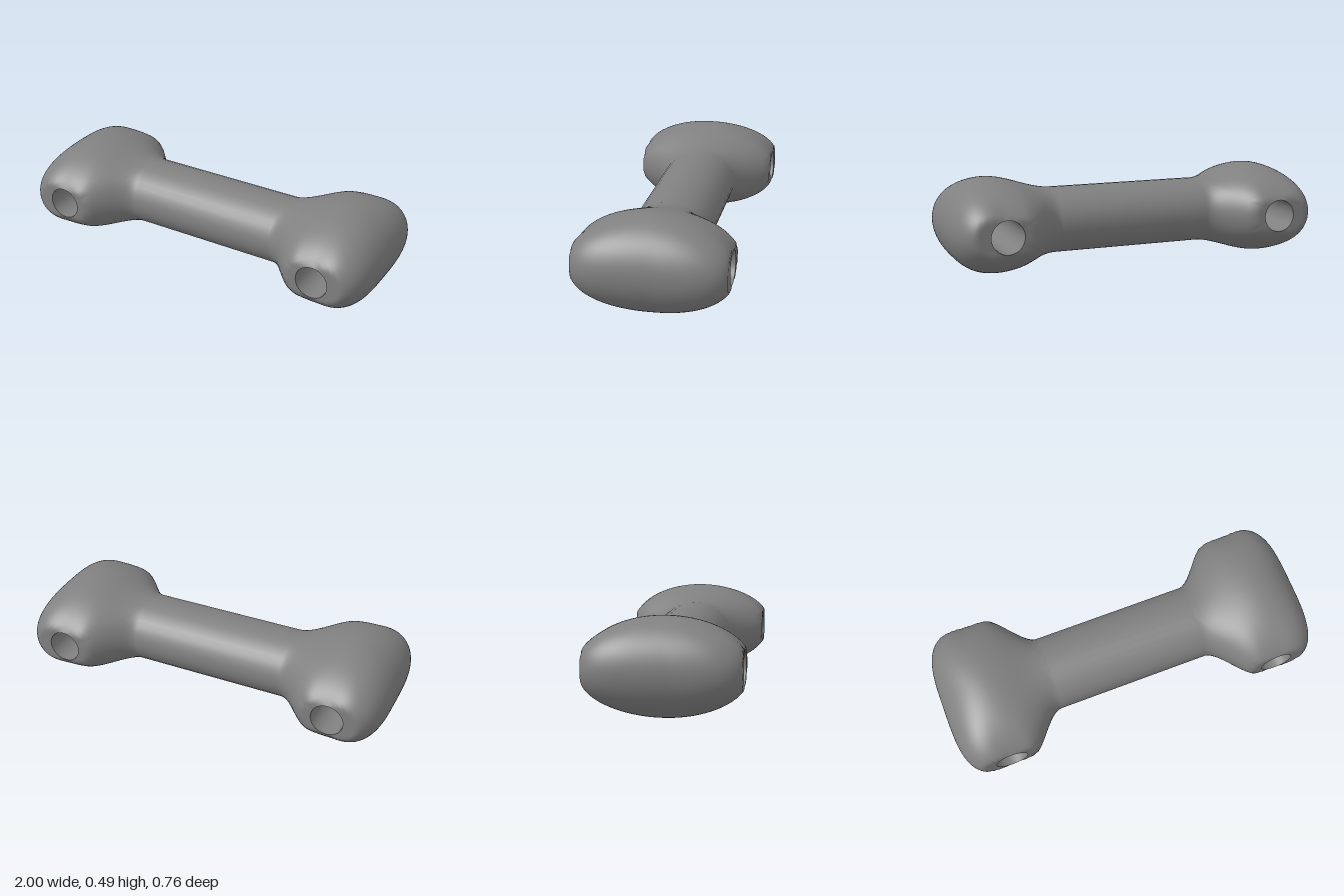
import * as THREE from 'three';
import { mergeVertices } from 'three/addons/utils/BufferGeometryUtils.js';

const CY = 0.2425;          // height of the centre line
const HX = 0.75;            // hole centre
const HOLE = 0.085;
const NECK = 0.41;          // where the shaft meets the knob
const SHAFT_Y = 0.172, SHAFT_Z = 0.2;
const KNOB_X = 0.25, KNOB_Y = 0.2425, KNOB_Z = 0.405, FLAT_Z = 0.378;

// half height and half depth of the flared neck
const neckY = x => SHAFT_Y + (KNOB_Y - SHAFT_Y) * THREE.MathUtils.smoothstep(x, NECK, HX);
const neckZ = x => SHAFT_Z + (KNOB_Z - SHAFT_Z) * THREE.MathUtils.smoothstep(x, NECK, 0.66);

// outline of a knob seen along the hole, counterclockwise
function knobOutline() {
  const upper = [], edge = [];
  for (let i = 0; i < 18; i++) {
    const a = i / 18 * Math.PI / 2;
    upper.push([HX + KNOB_X * Math.cos(a), KNOB_Y * Math.sin(a)]);
  }
  for (let i = 0; i < 14; i++) {
    const x = HX + (NECK - HX) * i / 14;
    upper.push([x, neckY(x)]);
  }
  for (let i = 0; i <= 16; i++) edge.push([NECK, SHAFT_Y * Math.cos(i / 16 * Math.PI)]);
  const lower = upper.map(([x, y]) => [x, -y]).reverse();
  return [...upper, ...edge, ...lower];
}

// half depth of the knob at a point; u is the fraction of the way to the outline
function halfDepth(x, y, u) {
  let z;
  if (x >= HX) {
    const c = Math.cos(Math.atan2(y, x - HX));
    const p = 2 + 1.5 * c * c;
    z = KNOB_Z * Math.pow(Math.max(0, 1 - Math.pow(u, p)), 1 / p);
  } else {
    z = neckZ(x) * Math.sqrt(Math.max(0, 1 - (y / neckY(x)) ** 2));
  }
  return Math.min(z, FLAT_Z);
}

// two mirrored sheets running from the hole rim to the outline
function knobGeometry() {
  const outline = knobOutline(), rings = 18, row = rings + 1;
  const position = [], index = [];
  for (const side of [1, -1]) {
    const base = position.length / 3;
    outline.forEach(([bx, by], i) => {
      const R = Math.hypot(bx - HX, by);
      for (let k = 0; k <= rings; k++) {
        const s = 1 - Math.pow(1 - k / rings, 2.2);
        const u = (HOLE + (R - HOLE) * s) / R;
        const x = HX + (bx - HX) * u, y = by * u;
        position.push(x, y + CY, side * halfDepth(x, y, u));
        if (k === rings || i === outline.length - 1) continue;
        const a = base + i * row + k, b = a + 1, d = a + row, c = d + 1;
        if (side > 0) index.push(a, b, c, a, c, d);
        else index.push(a, c, b, a, d, c);
      }
    });
  }
  const g = new THREE.BufferGeometry();
  g.setAttribute('position', new THREE.Float32BufferAttribute(position, 3));
  g.setIndex(index);
  const merged = mergeVertices(g, 1e-5);
  merged.computeVertexNormals();
  return merged;
}

export function createModel() {
  const group = new THREE.Group();
  const grey = new THREE.MeshStandardMaterial({ color: 0x808080, side: THREE.DoubleSide });
  grey.name = 'grey';

  // oval bar
  const shaftGeo = new THREE.CylinderGeometry(1, 1, NECK * 2, 32, 1, true);
  shaftGeo.rotateZ(Math.PI / 2).scale(1, SHAFT_Y, SHAFT_Z).translate(0, CY, 0);
  const shaft = new THREE.Mesh(shaftGeo, grey);
  shaft.name = 'shaft';
  group.add(shaft);

  // rounded knobs with a bored hole, mirrored left and right
  const knobGeo = knobGeometry();
  const boreGeo = new THREE.LatheGeometry(
    [new THREE.Vector2(HOLE, FLAT_Z), new THREE.Vector2(HOLE, -FLAT_Z)], 64);
  boreGeo.rotateX(Math.PI / 2).translate(HX, CY, 0);
  for (const [name, s] of [['left', 1], ['right', -1]]) {
    const end = new THREE.Group();
    end.name = name + 'End';
    const knob = new THREE.Mesh(knobGeo, grey);
    knob.name = name + 'Knob';
    const bore = new THREE.Mesh(boreGeo, grey);
    bore.name = name + 'HoleWall';
    end.add(knob, bore);
    end.scale.x = s;
    group.add(end);
  }
  return group;
}
